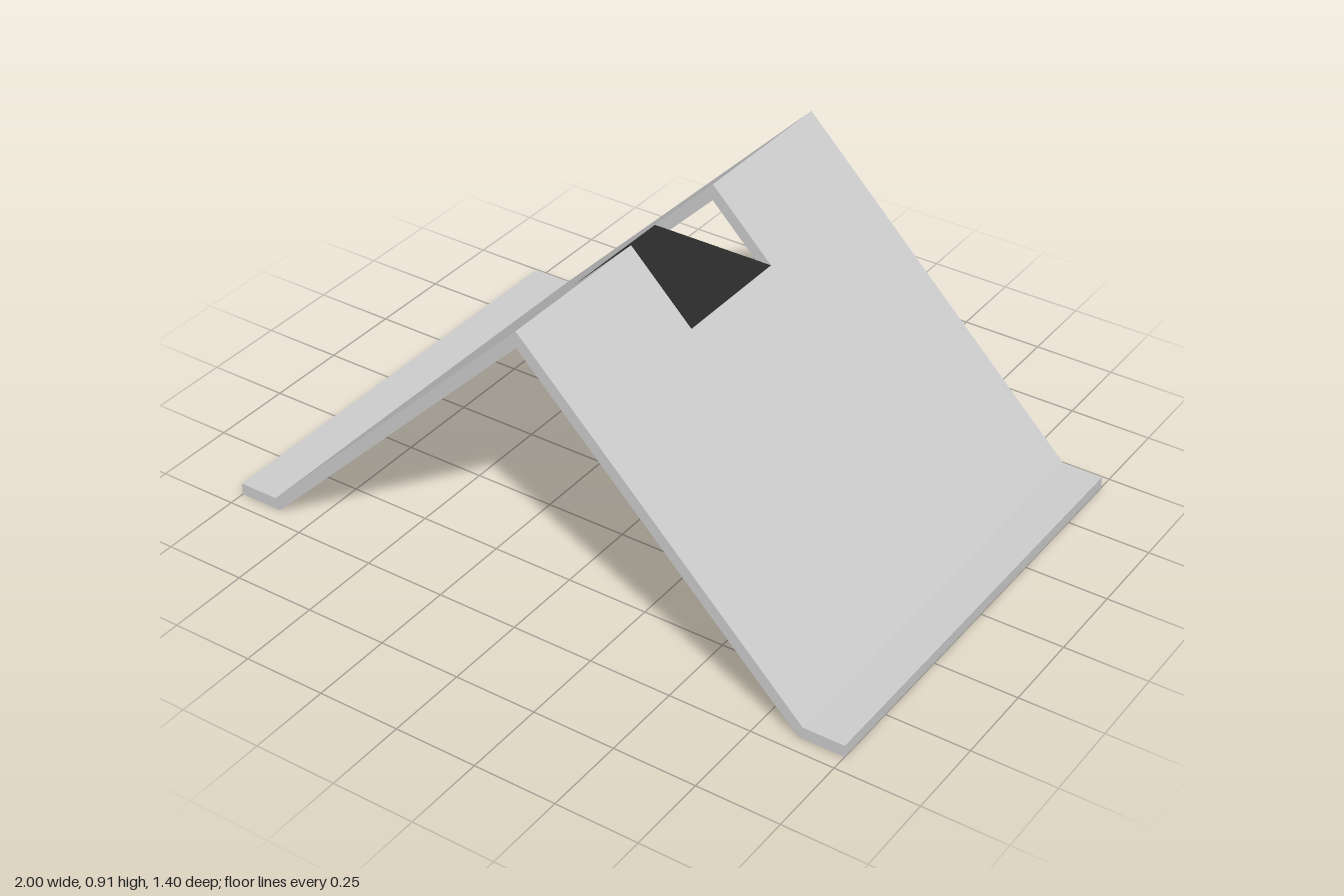
import * as THREE from 'three';

const HALF_DEPTH = 0.7;
const NOTCH = 0.194; // half length of the notch along z

// Cross-section stations from foot tip to ridge: [x, y] above and below the sheet
const upperHalf = [[1, 0.037], [0.875, 0.037], [0.192, 0.72], [0, 0.912]];
const lowerHalf = [[1, 0], [0.862, 0], [0.176, 0.686], [0, 0.862]];

// Mirror the half section into a full run from -x to +x
const mirrored = (half) => [
  ...half.map(([x, y]) => [-x, y]),
  ...half.slice(0, -1).reverse(),
];

// Folded sheet swept along z, leaving out the cells of the ridge notch
function foldedSheetGeometry() {
  const upper = mirrored(upperHalf);
  const lower = mirrored(lowerHalf);
  const zs = [-HALF_DEPTH, -NOTCH, NOTCH, HALF_DEPTH];
  const positions = [];
  const quad = (a, b, c, d) => positions.push(...a, ...b, ...c, ...a, ...c, ...d);
  const point = (row, [i, j]) => [row[i][0], row[i][1], zs[j]];
  const solid = (i, j) =>
    i >= 0 && i < upper.length - 1 && j >= 0 && j < 3 && !(j === 1 && (i === 2 || i === 3));

  for (let i = 0; i < upper.length - 1; i++) {
    for (let j = 0; j < 3; j++) {
      if (!solid(i, j)) continue;
      const corners = [[i, j], [i, j + 1], [i + 1, j + 1], [i + 1, j]];
      const neighbours = [[i - 1, j], [i, j + 1], [i + 1, j], [i, j - 1]];
      const top = corners.map((c) => point(upper, c));
      const bottom = corners.map((c) => point(lower, c));
      quad(...top);
      quad(...[...bottom].reverse());
      // Close the rim wherever the next cell is empty
      neighbours.forEach((n, k) => {
        const m = (k + 1) % 4;
        if (!solid(...n)) quad(top[m], top[k], bottom[k], bottom[m]);
      });
    }
  }
  const geometry = new THREE.BufferGeometry();
  geometry.setAttribute('position', new THREE.Float32BufferAttribute(positions, 3));
  geometry.computeVertexNormals();
  return geometry;
}

// Flat plate set into the notch, its sides bevelled to meet the panels
function plateGeometry() {
  const [ux, uy] = upperHalf[2];
  const [lx, ly] = lowerHalf[2];
  const shape = new THREE.Shape(
    [[-lx, ly], [lx, ly], [ux, uy], [-ux, uy]].map(([x, y]) => new THREE.Vector2(x, y)),
  );
  const geometry = new THREE.ExtrudeGeometry(shape, { depth: 2 * NOTCH, bevelEnabled: false });
  return geometry.translate(0, 0, -NOTCH);
}

export function createModel() {
  const group = new THREE.Group();
  group.name = 'tentStand';

  const sheet = new THREE.Mesh(
    foldedSheetGeometry(),
    new THREE.MeshStandardMaterial({ color: 0xcccccc }),
  );
  sheet.name = 'foldedSheet';

  const plate = new THREE.Mesh(
    plateGeometry(),
    new THREE.MeshStandardMaterial({ color: 0x2a2a2a }),
  );
  plate.name = 'topPlate';

  group.add(sheet, plate);
  return group;
}
